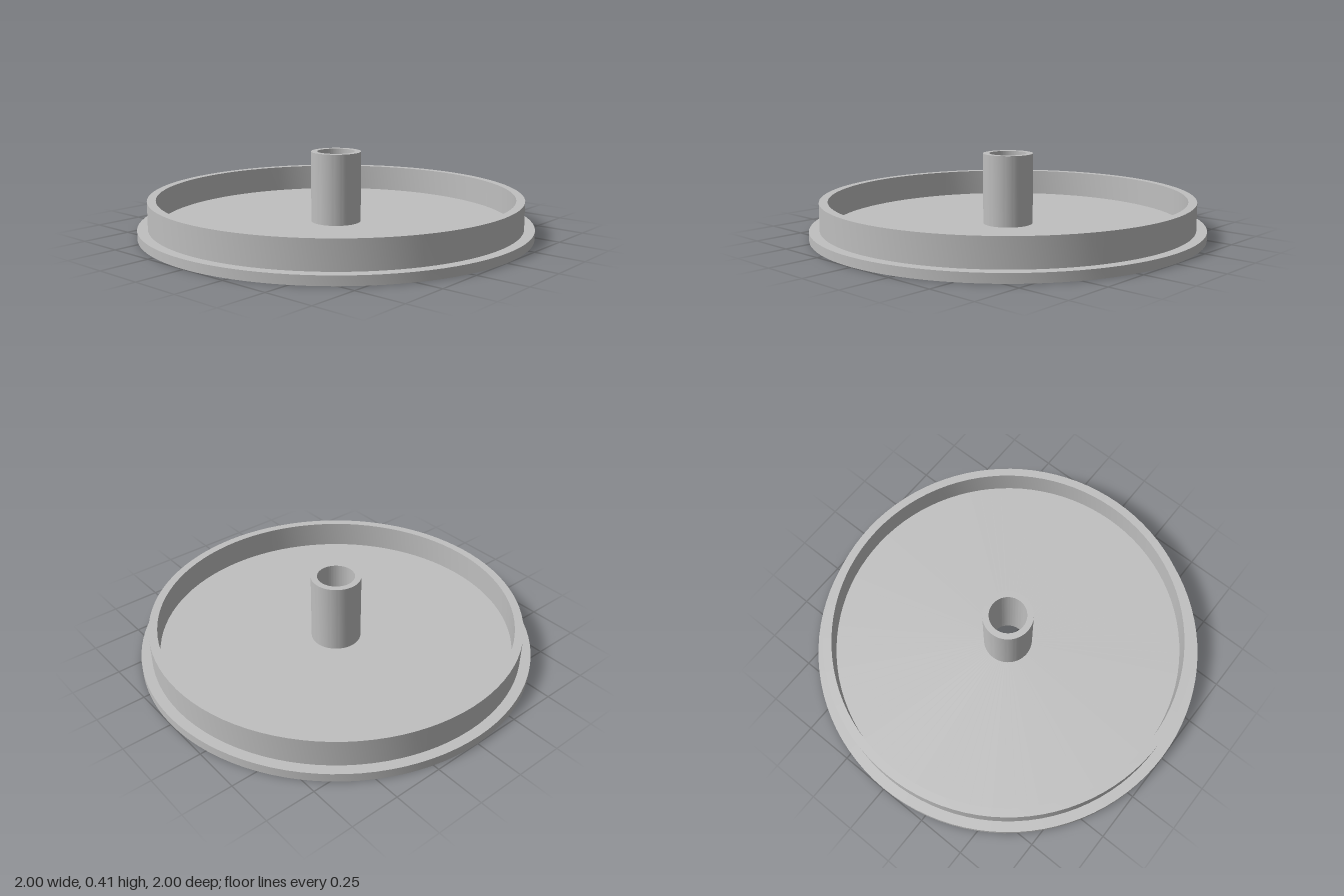
import * as THREE from 'three';
import { toCreasedNormals } from 'three/addons/utils/BufferGeometryUtils.js';

const SEGMENTS = 96;
const HOLE = 0.095;      // bore through hub and base
const BASE_TOP = 0.045;

// Ring turned around y; the underside is left out where it rests on another part
function ring(name, inner, outer, y0, y1, material, underside) {
  const profile = [[outer, y0], [outer, y1], [inner, y1], [inner, y0]];
  if (underside) profile.push([outer, y0]);
  const points = profile.map(([r, y]) => new THREE.Vector2(r, y));
  const geometry = toCreasedNormals(new THREE.LatheGeometry(points, SEGMENTS), Math.PI / 6);
  const mesh = new THREE.Mesh(geometry, material);
  mesh.name = name;
  return mesh;
}

export function createModel() {
  const group = new THREE.Group();
  group.name = 'flangedCap';

  const grey = new THREE.MeshStandardMaterial({ color: 0xbfbfbf });
  grey.name = 'plain grey';

  group.add(
    // Flat disc with a narrow flange outside the wall
    ring('baseDisc', HOLE, 1, 0, BASE_TOP, grey, true),
    // Upright wall around the tray
    ring('rimWall', 0.905, 0.948, BASE_TOP, 0.185, grey, false),
    // Hollow centre post
    ring('centreHub', HOLE, 0.127, BASE_TOP, 0.405, grey, false)
  );
  return group;
}
